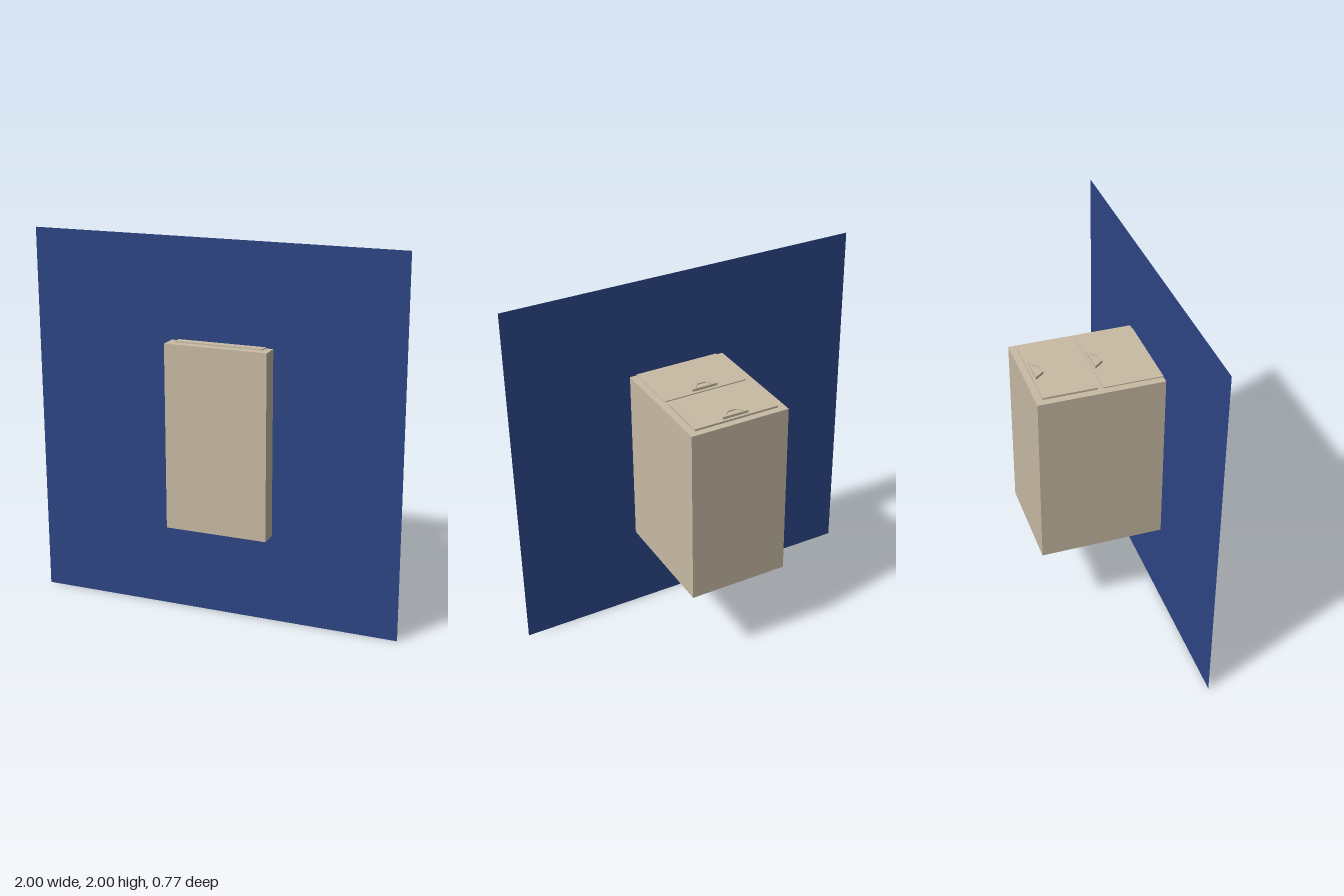
import * as THREE from 'three';

export function createModel() {
  const model = new THREE.Group();
  const beige = new THREE.MeshStandardMaterial({ color: 0xc8bba5 });
  beige.name = 'beige enamel';
  const blue = new THREE.MeshStandardMaterial({ color: 0x2d4585, side: THREE.DoubleSide });
  blue.name = 'navy blue';

  const add = (name, geometry, material, parent = model) => {
    const mesh = new THREE.Mesh(geometry, material);
    mesh.name = name;
    parent.add(mesh);
    return mesh;
  };
  // Box given by its minimum and maximum corners
  const box = (name, [x0, y0, z0], [x1, y1, z1], parent) => {
    const mesh = add(name, new THREE.BoxGeometry(x1 - x0, y1 - y0, z1 - z0), beige, parent);
    mesh.position.set((x0 + x1) / 2, (y0 + y1) / 2, (z0 + z1) / 2);
  };

  // Upright sheet passing through the cabinet
  add('backdropSheet', new THREE.PlaneGeometry(2, 2), blue).position.set(0, 1, 0.29);

  // Cabinet lying on its back, drawers facing up
  box('cabinetBody', [-0.235, 0.475, -0.385], [0.317, 1.467, 0.385]);

  // Trapezoid, wide edge at z = 0 and narrow edge at z = depth
  const trapezoid = (wide, narrow, z0, depth) => [
    new THREE.Vector2(-wide, z0), new THREE.Vector2(wide, z0),
    new THREE.Vector2(narrow, depth), new THREE.Vector2(-narrow, depth),
  ];
  const plate = (shape, height) => {
    const g = new THREE.ExtrudeGeometry(shape, { depth: height, bevelEnabled: false });
    return g.rotateX(Math.PI / 2); // shape y becomes z, thickness hangs down
  };

  // Each drawer: front panel, handle rim and the lower pad inside the rim
  const drawers = [
    { name: 'upperDrawer', z0: -0.348, z1: -0.058, top: 1.478, handleZ: -0.334 },
    { name: 'lowerDrawer', z0: -0.03, z1: 0.336, top: 1.473, handleZ: -0.02 },
  ];
  for (const { name, z0, z1, top, handleZ } of drawers) {
    const drawer = new THREE.Group();
    drawer.name = name;
    model.add(drawer);
    box('drawerFront', [-0.195, 1.46, z0], [0.278, top, z1], drawer);

    const rim = new THREE.Shape(trapezoid(0.073, 0.031, 0, 0.052));
    rim.holes.push(new THREE.Path(trapezoid(0.052, 0.022, 0.006, 0.04).reverse()));
    add('handleRim', plate(rim, 0.014), beige, drawer).position.set(0.041, 1.492, handleZ);
    const pad = new THREE.Shape(trapezoid(0.052, 0.022, 0.006, 0.04));
    add('handlePad', plate(pad, 0.016), beige, drawer).position.set(0.041, 1.486, handleZ);
  }
  return model;
}
